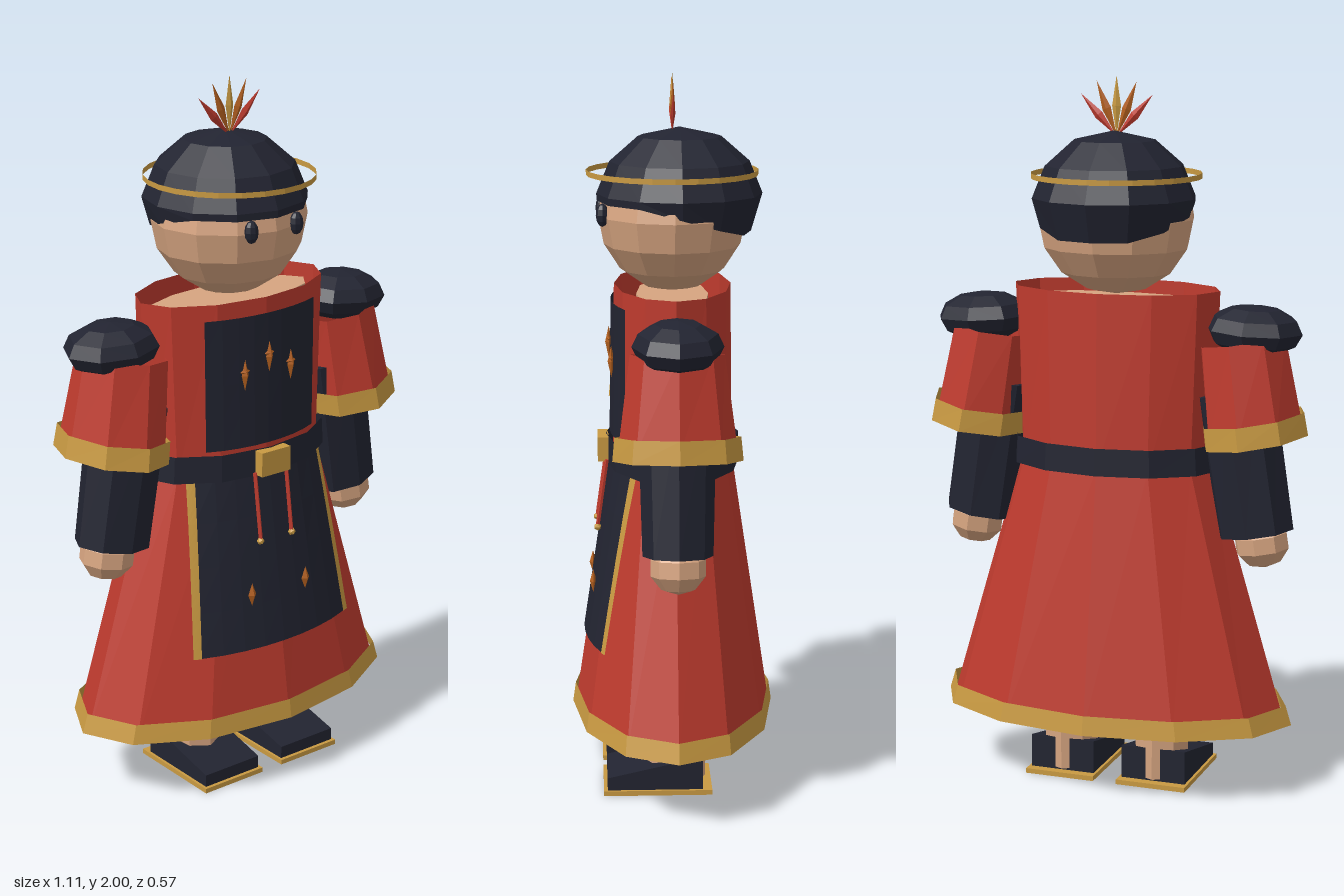
import * as THREE from 'three';

const paint = (name, color) => {
  const m = new THREE.MeshStandardMaterial({ color, flatShading: true, side: THREE.DoubleSide });
  m.name = name;
  return m;
};

export function createModel() {
  const red = paint('red cloth', 0xbf3b2e);
  const dark = paint('dark navy', 0x222431);
  const gold = paint('gold trim', 0xc99a42);
  const skin = paint('skin', 0xd6a480);
  const copper = paint('copper', 0xb4601f);
  const model = new THREE.Group();

  const add = (name, geo, mat, x = 0, y = 0, z = 0, parent = model) => {
    const mesh = new THREE.Mesh(geo, mat);
    mesh.name = name;
    mesh.position.set(x, y, z);
    parent.add(mesh);
    return mesh;
  };
  // Oval tube between two heights; each end is [y, rx, rz]
  const ovalTube = ([y0, rx0, rz0], [y1, rx1, rz1], sides, open = true) => {
    const g = new THREE.CylinderGeometry(1, 1, 1, sides, 1, open);
    const p = g.attributes.position;
    for (let i = 0; i < p.count; i++) {
      const top = p.getY(i) > 0;
      p.setXYZ(i, p.getX(i) * (top ? rx1 : rx0), top ? y1 : y0, p.getZ(i) * (top ? rz1 : rz0));
    }
    return g;
  };
  const blob = (rx, ry, rz, w, h) => new THREE.SphereGeometry(1, w, h).scale(rx, ry, rz);
  const leaf = (w, h, d) => new THREE.OctahedronGeometry(1).scale(w, h, d);

  // Robe
  const hem = [0.21, 0.5, 0.276], waist = [0.93, 0.285, 0.168], collar = [1.42, 0.302, 0.162];
  add('skirt', ovalTube(hem, waist, 12), red);
  add('hemTrim', ovalTube([0.2, 0.522, 0.286], [0.255, 0.505, 0.278], 12), gold);
  add('torso', ovalTube(waist, collar, 12), red);
  add('upperChest', ovalTube([1.0, 0.22, 0.1], [1.39, 0.265, 0.1], 12, false), skin);
  add('belt', ovalTube([0.918, 0.307, 0.188], [0.995, 0.302, 0.186], 12), dark);
  add('buckle', new THREE.BoxGeometry(0.1, 0.07, 0.03), gold, 0, 0.957, 0.195);

  // Curved cloth panel that follows the robe between two levels
  const surfaceZ = (x, y, a, b, off) => {
    const t = (y - a[0]) / (b[0] - a[0]);
    const rx = THREE.MathUtils.lerp(a[1], b[1], t), rz = THREE.MathUtils.lerp(a[2], b[2], t);
    return rz * Math.sqrt(1 - (x / rx) ** 2) + off;
  };
  const panel = (y0, l0, r0, y1, l1, r1, a, b, off) => {
    const g = new THREE.PlaneGeometry(1, 1, 8, 4);
    const p = g.attributes.position;
    for (let i = 0; i < p.count; i++) {
      const u = p.getX(i) + 0.5, v = p.getY(i) + 0.5;
      const y = y0 + (y1 - y0) * v;
      const x = (l0 + (r0 - l0) * u) * (1 - v) + (l1 + (r1 - l1) * u) * v;
      p.setXYZ(i, x, y, surfaceZ(x, y, a, b, off));
    }
    return g;
  };
  add('chestPanel', panel(1.005, -0.187, 0.187, 1.378, -0.19, 0.19, waist, collar, 0.009), dark);
  add('apron', panel(0.43, -0.262, 0.262, 0.93, -0.22, 0.22, hem, waist, 0.009), dark);
  for (const s of [-1, 1]) {
    add('apronEdge', panel(0.43, s * 0.258, s * 0.28, 0.93, s * 0.215, s * 0.235, hem, waist, 0.011), gold);
  }

  // Ornaments and belt cords
  for (const [x, y] of [[-0.08, 1.215], [0, 1.255], [0.08, 1.215]]) {
    const z = surfaceZ(x, y, waist, collar, 0.013);
    add('chestOrnament', leaf(0.012, 0.045, 0.01), copper, x, y, z);
    add('chestOrnamentBar', leaf(0.017, 0.012, 0.008), copper, x, y + 0.01, z);
  }
  for (const s of [-1, 1]) {
    add('apronOrnament', leaf(0.014, 0.034, 0.01), copper, s * 0.096, 0.588,
      surfaceZ(0.096, 0.588, hem, waist, 0.013));
    const cord = add('beltCord', new THREE.CylinderGeometry(0.006, 0.006, 0.19, 5), red, s * 0.055, 0.835, 0.198);
    cord.rotation.x = -0.14;
    add('cordBead', new THREE.IcosahedronGeometry(0.011), gold, s * 0.056, 0.735, 0.212);
  }

  // Arms
  for (const s of [-1, 1]) {
    const arm = new THREE.Group();
    arm.name = s > 0 ? 'leftArm' : 'rightArm';
    arm.position.set(s * 0.365, 1.29, 0);
    arm.rotation.z = s * 0.155;
    model.add(arm);
    add('sleeve', ovalTube([-0.25, 0.138, 0.158], [0.0, 0.124, 0.126], 8), red, 0, 0, 0, arm);
    add('sleeveTrim', ovalTube([-0.282, 0.15, 0.174], [-0.218, 0.148, 0.168], 8), gold, 0, 0, 0, arm);
    add('forearm', ovalTube([-0.54, 0.11, 0.095], [-0.14, 0.113, 0.105], 8, false), dark, s * -0.038, 0, 0, arm);
    add('hand', blob(0.08, 0.072, 0.078, 8, 5), skin, s * -0.025, -0.57, 0, arm);
    const pad = add('shoulderPad', blob(0.137, 0.07, 0.122, 8, 6), dark, s * 0.4, 1.318, 0);
    pad.rotation.z = s * -0.05;
  }

  // Legs and shoes
  const side = new THREE.Shape([[-0.19, 0.012], [0.078, 0.012], [0.078, 0.11], [-0.19, 0.05]]
    .map(([x, y]) => new THREE.Vector2(x, y)));
  const shoe = new THREE.ExtrudeGeometry(side, { depth: 0.19, bevelEnabled: false })
    .translate(0, 0, -0.095).rotateY(Math.PI / 2);
  for (const s of [-1, 1]) {
    add('leg', ovalTube([0.02, 0.08, 0.088], [0.8, 0.08, 0.088], 8, false), skin, s * 0.138, 0, 0);
    add('shoe', shoe, dark, s * 0.138, 0, 0);
    add('sole', new THREE.BoxGeometry(0.206, 0.014, 0.305), gold, s * 0.138, 0.007, 0.048);
  }

  // Head and eyes
  add('head', blob(0.222, 0.212, 0.205, 12, 8), skin, 0, 1.612, 0);
  for (const s of [-1, 1]) {
    add('eye', blob(0.02, 0.032, 0.018, 8, 6), dark, s * 0.077, 1.62, 0.193);
  }

  // Hair cap, lower at the back
  const hair = new THREE.LatheGeometry([[0.21, 1.6], [0.229, 1.67], [0.193, 1.758], [0.115, 1.826], [0, 1.852]]
    .map(([r, y]) => new THREE.Vector2(r, y)), 12);
  const hp = hair.attributes.position;
  for (let i = 0; i < hp.count; i++) {
    if (hp.getY(i) > 1.61) continue;
    const drop = THREE.MathUtils.clamp((0.09 - hp.getZ(i)) / 0.27, 0, 1);
    const k = (0.228 - 0.03 * drop) / 0.21;
    hp.setXYZ(i, hp.getX(i) * k, 1.65 - 0.085 * drop, hp.getZ(i) * k);
  }
  add('hair', hair, dark, 0, 0, -0.02);
  add('headband', ovalTube([1.721, 0.237, 0.237], [1.736, 0.237, 0.237], 24), gold);

  // Fan of feathers
  [red, copper, gold, copper, red].forEach((mat, i) => {
    const a = (2 - i) * 0.37;
    const length = 0.165 - 0.005 * Math.abs(i - 2);
    const feather = add('feather', leaf(0.013, length / 2, 0.007).translate(0, length / 2, 0), mat, 0, 1.835, 0);
    feather.rotation.z = a;
  });
  return model;
}
